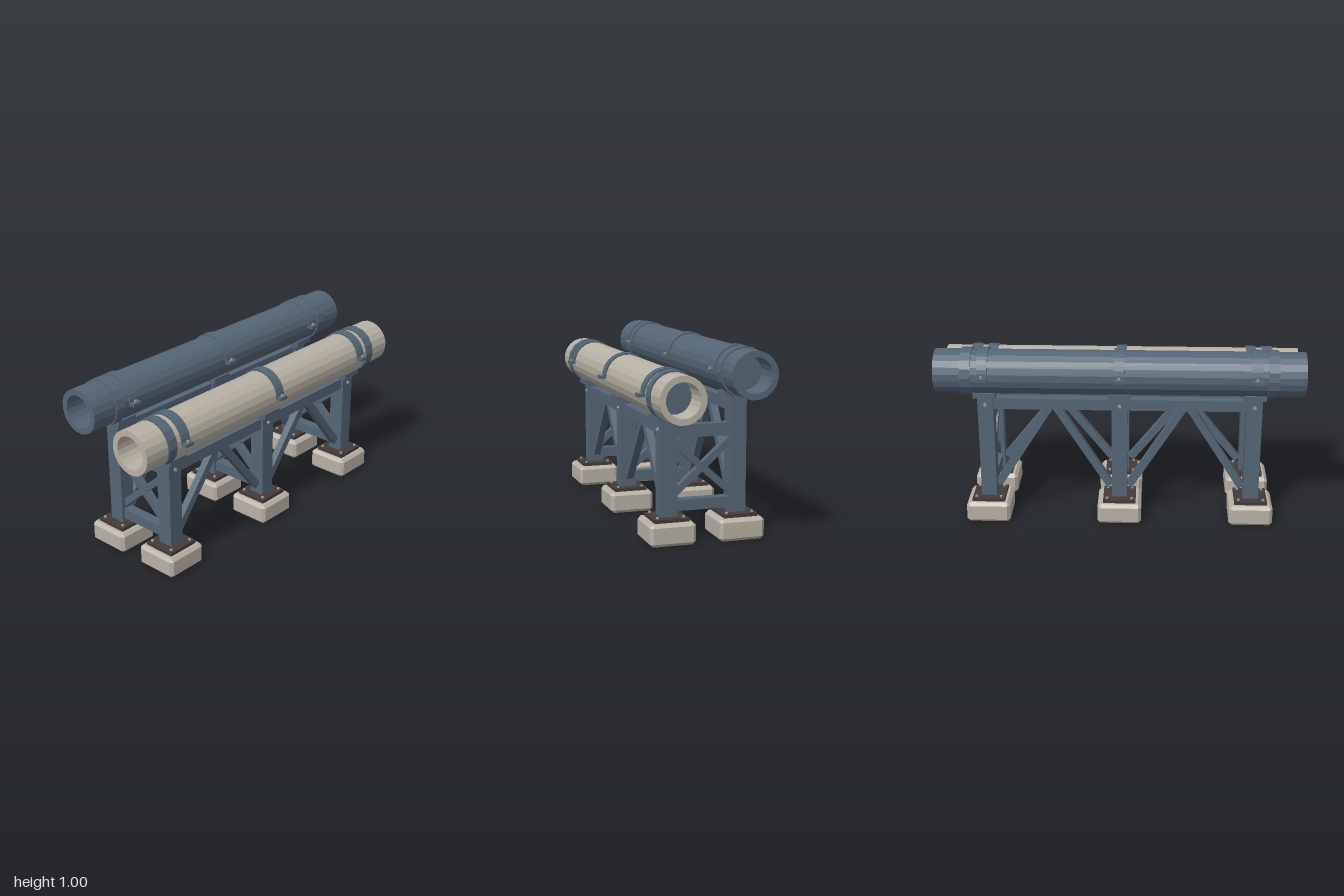
import * as THREE from 'three';
import { ConvexGeometry } from 'three/addons/geometries/ConvexGeometry.js';

const flat = (name, color) => {
  const m = new THREE.MeshStandardMaterial({ color, flatShading: true });
  m.name = name;
  return m;
};

export function createModel() {
  const blue = flat('blue painted steel', 0x556575);
  const beige = flat('concrete beige', 0xb8b1a5);
  const dark = flat('dark base plate', 0x433a39);
  const steel = flat('bolt steel', 0x9a9791);

  const model = new THREE.Group();
  model.name = 'pipeRack';

  const add = (parent, name, geo, mat, x = 0, y = 0, z = 0) => {
    const mesh = new THREE.Mesh(geo, mat);
    mesh.name = name;
    mesh.position.set(x, y, z);
    parent.add(mesh);
    return mesh;
  };
  const box = (w, h, d) => new THREE.BoxGeometry(w, h, d);
  const arc = (r, n, from, to, close) => Array.from({ length: close ? n : n + 1 }, (_, i) => {
    const a = from + (to - from) * i / n;
    return new THREE.Vector2(Math.cos(a) * r, Math.sin(a) * r);
  });
  // Extrudes a profile along x, centred
  const alongX = (shape, length) => new THREE.ExtrudeGeometry(shape, { depth: length, bevelEnabled: false })
    .translate(0, 0, -length / 2).rotateY(Math.PI / 2);
  // Square bar between two points
  const bar = (parent, name, a, b, size, thick) => {
    const from = new THREE.Vector3(...a), dir = new THREE.Vector3(...b).sub(from);
    const inX = Math.abs(dir.x) > Math.abs(dir.z);
    const geo = inX ? box(size, dir.length(), thick) : box(thick, dir.length(), size);
    const mesh = add(parent, name, geo, blue);
    mesh.position.copy(from).addScaledVector(dir, 0.5);
    if (inX) mesh.rotation.z = -Math.atan2(dir.x, dir.y);
    else mesh.rotation.x = Math.atan2(dir.z, dir.y);
  };

  // Pipe: 20-sided tube with flats at top and sides
  const off = Math.PI / 20;
  const pipeShape = new THREE.Shape(arc(0.122, 20, off, off + Math.PI * 2, true));
  pipeShape.holes.push(new THREE.Path(arc(0.09, 20, off, off + Math.PI * 2, true)));
  const pipeGeo = alongX(pipeShape, 2);
  const collarGeo = new THREE.CylinderGeometry(0.131, 0.131, 0.058, 16).rotateZ(Math.PI / 2);

  // Half-ring strap over the pipe
  const strapGeo = alongX(new THREE.Shape([
    ...arc(0.131, 16, 0, Math.PI), ...arc(0.119, 16, Math.PI, 0)]), 0.056);
  const earGeo = box(0.056, 0.018, 0.034);
  const boltGeo = new THREE.CylinderGeometry(0.008, 0.008, 0.012, 8);
  const faceBoltGeo = new THREE.CylinderGeometry(0.01, 0.01, 0.01, 8).rotateX(Math.PI / 2);

  // Footing block with every edge chamfered
  const c = 0.017, hw = 0.122, hh = 0.0585, corners = [];
  for (const sx of [-1, 1]) for (const sy of [-1, 1]) for (const sz of [-1, 1])
    for (const [dx, dy, dz] of [[0, c, c], [c, 0, c], [c, c, 0]])
      corners.push(new THREE.Vector3(sx * (hw - dx), sy * (hh - dy), sz * (hw - dz)));
  const footingGeo = new ConvexGeometry(corners);

  const posts = [-0.735, 0, 0.735];
  const lines = [
    { name: 'front', z: 0.185, y: 0.76, mat: beige, side: 1 },
    { name: 'back', z: -0.185, y: 0.867, mat: blue, side: -1 },
  ];

  for (const { name, z, y, mat, side } of lines) {
    const line = new THREE.Group();
    line.name = name + 'Line';
    line.position.z = z;
    model.add(line);

    add(line, 'pipe', pipeGeo, mat, 0, y);
    for (const s of [-1, 1]) add(line, 'collar', collarGeo, blue, s * 0.826, y);

    for (const x of posts) {
      // Strap with bolted ears
      add(line, 'strap', strapGeo, blue, x, y);
      for (const s of [-1, 1]) {
        add(line, 'strapEar', earGeo, blue, x, y - 0.001, s * 0.14);
        add(line, 'strapBolt', boltGeo, steel, x, y + 0.013, s * 0.141);
      }
      // Saddle, post and footing
      const top = y - 0.132;
      add(line, 'saddle', box(0.122, 0.028, 0.146), blue, x, top + 0.012);
      add(line, 'post', box(0.086, top - 0.13, 0.088), blue, x, (top + 0.13) / 2);
      add(line, 'postBolt', faceBoltGeo, steel, x, y - 0.181, side * 0.048);
      add(line, 'basePlate', box(0.182, 0.018, 0.182), dark, x, 0.126);
      add(line, 'footing', footingGeo, beige, x, 0.0585);
      for (const sx of [-1, 1]) for (const sz of [-1, 1])
        add(line, 'anchorBolt', boltGeo, steel, x + sx * 0.069, 0.138, sz * 0.069);
    }

    // Long beam and inverted-V braces in each bay
    const beamY = y - 0.182;
    for (const s of [-1, 1]) {
      add(line, 'longBeam', box(0.65, 0.062, 0.056), blue, s * 0.3675, beamY);
      for (const d of [-1, 1])
        bar(line, 'bayBrace', [s * 0.3675 + d * 0.315, 0.195, 0], [s * 0.3675, beamY + 0.01, 0], 0.042, 0.04);
    }
  }

  // Cross frames joining the front and back posts
  for (const x of posts) {
    const frame = new THREE.Group();
    frame.name = 'crossFrame';
    frame.position.x = x;
    model.add(frame);
    add(frame, 'lowerTie', box(0.056, 0.058, 0.3), blue, 0, 0.187);
    add(frame, 'upperTie', box(0.056, 0.066, 0.3), blue, 0, 0.568);
    for (const s of [-1, 1])
      bar(frame, 'crossBrace', [0, 0.238, -s * 0.158], [0, 0.516, s * 0.158], 0.036, 0.04);
  }
  return model;
}
